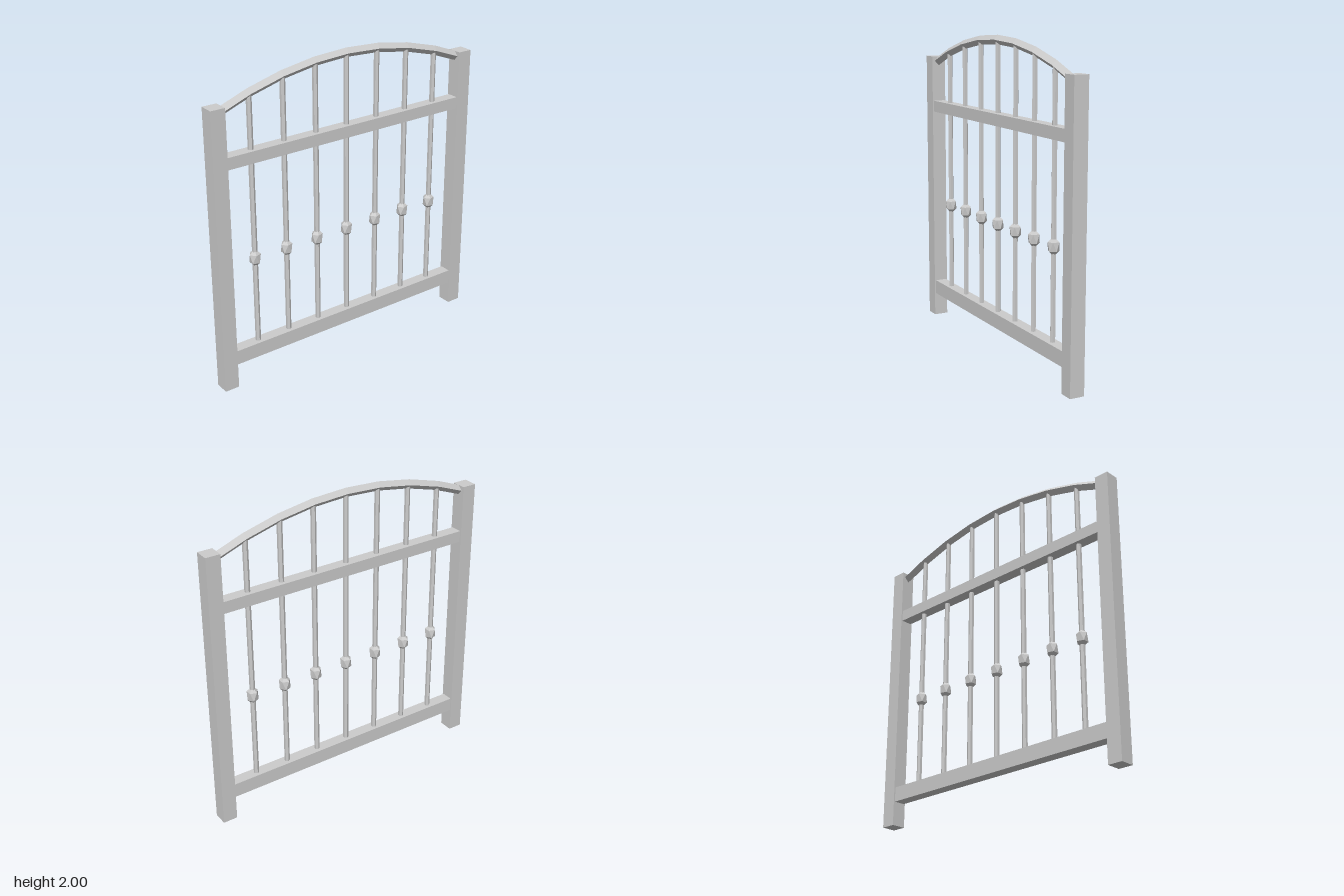
import * as THREE from 'three';

export function createModel() {
  const gate = new THREE.Group();
  gate.name = 'gate';
  const metal = new THREE.MeshStandardMaterial({ color: 0xcccccc, flatShading: true });
  metal.name = 'light grey metal';

  const add = (name, geometry, x, y, z = 0) => {
    const mesh = new THREE.Mesh(geometry, metal);
    mesh.name = name;
    mesh.position.set(x, y, z);
    gate.add(mesh);
    return mesh;
  };

  // Square posts
  const postHeight = 1.824;
  const post = new THREE.BoxGeometry(0.094, postHeight, 0.094);
  add('leftPost', post, 0.91, postHeight / 2);
  add('rightPost', post, -0.91, postHeight / 2);

  // Straight cross rails between the posts
  add('lowerRail', new THREE.BoxGeometry(1.74, 0.095, 0.076), 0, 0.202);
  add('upperRail', new THREE.BoxGeometry(1.74, 0.075, 0.076), 0, 1.485);

  // Arched top rail with a diamond cross-section
  const archTop = 1.971, archBend = 0.235, archEnd = 0.9;
  const archY = (x) => archTop - archBend * x * x;
  const arch = new THREE.QuadraticBezierCurve3(
    new THREE.Vector3(-archEnd, archY(archEnd), 0),
    new THREE.Vector3(0, 2 * archTop - archY(archEnd), 0),
    new THREE.Vector3(archEnd, archY(archEnd), 0)
  );
  add('archedRail', new THREE.TubeGeometry(arch, 8, 0.029, 4), 0, 0);

  // Faceted knob with a corner pointing straight up
  const knob = new THREE.IcosahedronGeometry(1, 0);
  knob.rotateZ(Math.atan(2 / (1 + Math.sqrt(5))));
  knob.scale(0.04, 0.06, 0.04);

  // Seven bars, each reaching up into the arch, with a knob
  const barBottom = 0.2;
  for (let i = -3; i <= 3; i++) {
    const x = i * 0.2275;
    const height = archY(x) - barBottom;
    add('bar', new THREE.CylinderGeometry(0.017, 0.017, height, 6), x, barBottom + height / 2);
    add('knob', knob, x, 0.823);
  }
  return gate;
}
